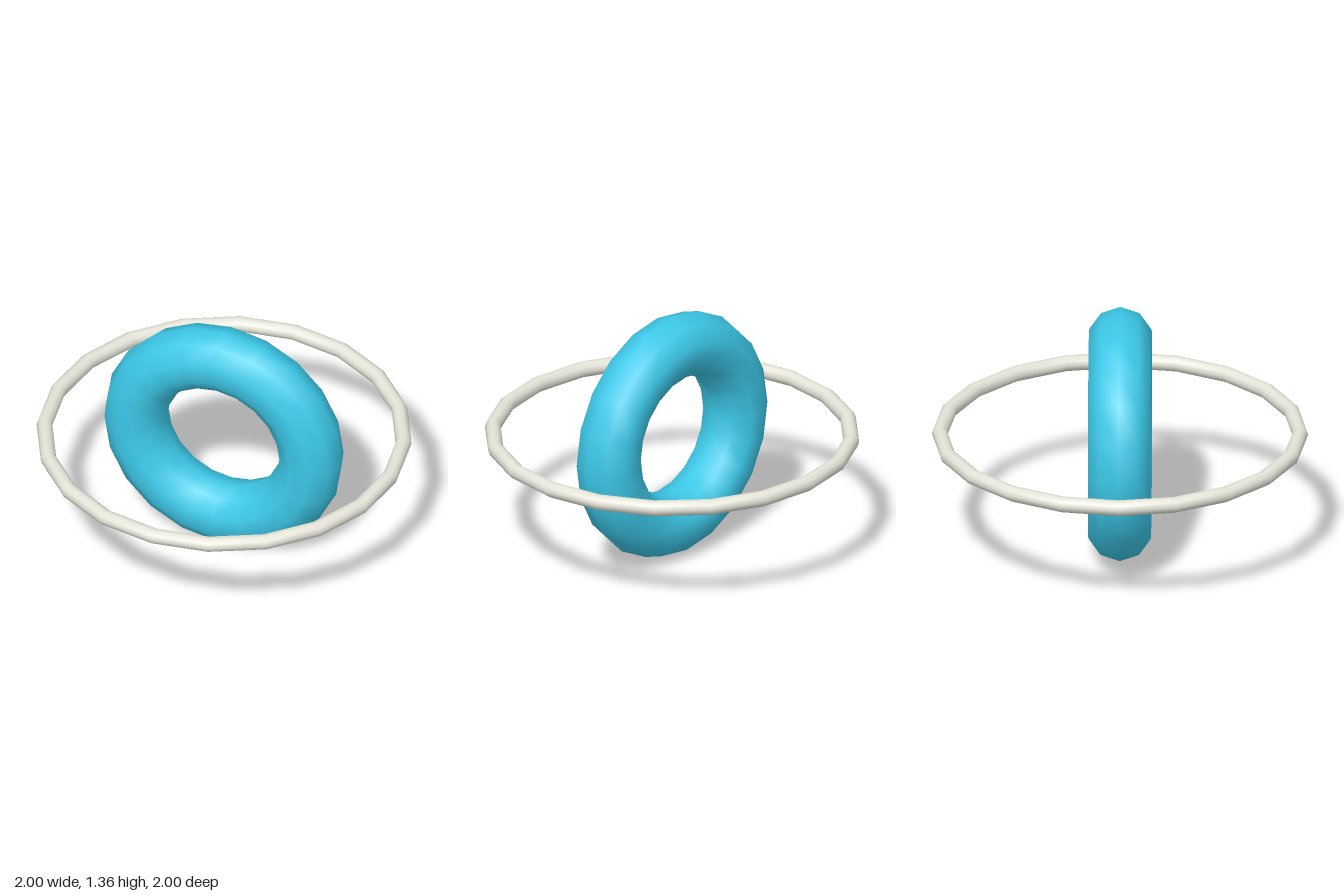
import * as THREE from 'three';

const CENTER_Y = 0.68;

// Smooth torus with 20 segments around and a 10-sided tube
function makeRing(name, radius, tube, color) {
  const mesh = new THREE.Mesh(
    new THREE.TorusGeometry(radius, tube, 10, 20),
    new THREE.MeshStandardMaterial({ color })
  );
  mesh.name = name;
  mesh.position.y = CENTER_Y;
  return mesh;
}

export function createModel() {
  const group = new THREE.Group();
  group.name = 'crossedRings';

  // Thick upright ring
  group.add(makeRing('uprightRing', 0.5055, 0.1745, 0x3cc8e8));

  // Thin horizontal ring around it
  const orbit = makeRing('horizontalRing', 0.9575, 0.0425, 0xe4e4d8);
  orbit.rotation.x = Math.PI / 2;
  group.add(orbit);

  return group;
}
